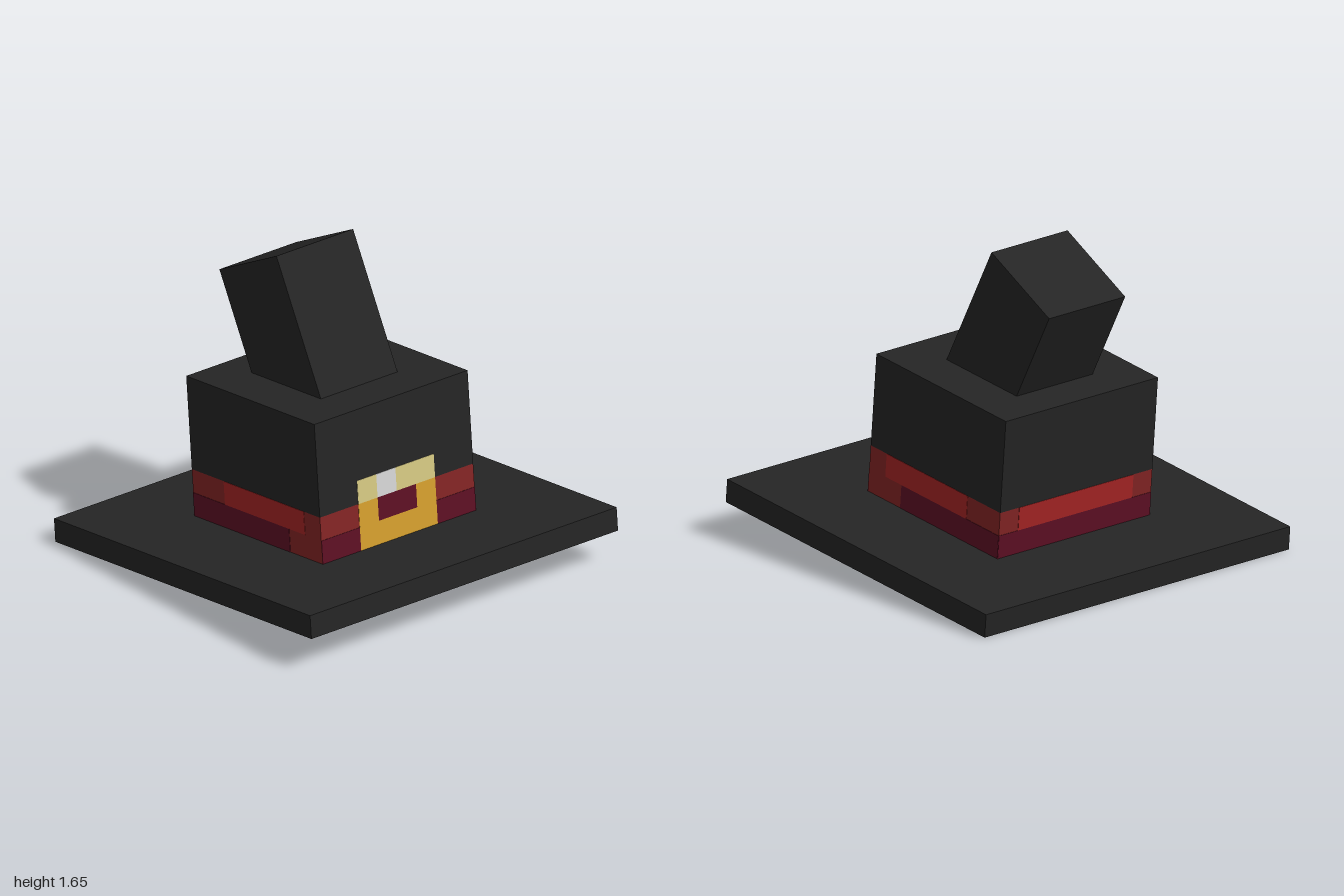
import * as THREE from 'three';

const mat = (name, color) => {
  const m = new THREE.MeshStandardMaterial({ color });
  m.name = name;
  return m;
};

export function createModel() {
  const black = mat('black felt', 0x252525);
  const red = mat('red band', 0x842525);
  const brightRed = mat('bright red', 0xa62424);
  const darkRed = mat('dark red', 0x5e1024);
  const gold = mat('gold', 0xd6a02e);
  const paleGold = mat('pale gold', 0xd6c983);
  const silver = mat('silver shine', 0xd6d6d6);

  const model = new THREE.Group();
  model.name = 'pointedHat';

  const box = (parent, name, material, size, pos) => {
    const mesh = new THREE.Mesh(new THREE.BoxGeometry(...size), material);
    mesh.name = name;
    mesh.position.set(...pos);
    parent.add(mesh);
    return mesh;
  };

  // Brim and crown share a slight backward tilt
  const hat = new THREE.Group();
  hat.name = 'tiltedHat';
  hat.position.set(0, 0.087, 0.0045);
  hat.rotation.x = THREE.MathUtils.degToRad(-5);
  model.add(hat);
  box(hat, 'brim', black, [2, 0.125, 2], [0, 0.0625, 0]);
  box(hat, 'crown', black, [1, 0.5, 1], [0, 0.625, 0]);
  box(hat, 'band', red, [1, 0.25, 1], [0, 0.25, 0]);

  // Bent tip, sunk into the crown
  const tip = box(model, 'tip', black, [0.5, 0.75, 0.5], [0, 1.197, -0.215]);
  tip.rotation.x = THREE.MathUtils.degToRad(-27.5);

  // One group per crown face; plates are given by their edges on that face
  const face = (name, turn) => {
    const g = new THREE.Group();
    g.name = name;
    g.rotation.y = turn;
    hat.add(g);
    return (part, material, u0, u1, v0, v1) =>
      box(g, part, material, [u1 - u0, v1 - v0, 0.004], [(u0 + u1) / 2, (v0 + v1) / 2, 0.5]);
  };

  // Front: shaded band and buckle
  const front = face('frontDetails', 0);
  front('bandShadeRight', darkRed, -0.5, -0.25, 0.125, 0.25);
  front('bandShadeLeft', darkRed, 0.25, 0.5, 0.125, 0.25);
  front('buckleBase', gold, -0.25, 0.25, 0.125, 0.25);
  front('buckleSideRight', gold, -0.25, -0.125, 0.25, 0.375);
  front('buckleSideLeft', gold, 0.125, 0.25, 0.25, 0.375);
  front('buckleHole', darkRed, -0.125, 0.125, 0.25, 0.375);
  front('buckleTopRight', paleGold, -0.25, -0.125, 0.375, 0.5);
  front('buckleShine', silver, -0.125, 0, 0.375, 0.5);
  front('buckleTopLeft', paleGold, 0, 0.25, 0.375, 0.5);

  // Back
  const back = face('backDetails', Math.PI);
  back('bandHighlight', brightRed, -0.375, 0.375, 0.25, 0.375);
  back('bandShade', darkRed, -0.5, 0.5, 0.125, 0.25);

  // Mirrored sides
  for (const s of [1, -1]) {
    const side = face(s > 0 ? 'leftDetails' : 'rightDetails', s * Math.PI / 2);
    const plate = (name, m, a, b, v0, v1) =>
      side(name, m, Math.min(s * a, s * b), Math.max(s * a, s * b), v0, v1);
    plate('bandHighlight', brightRed, -0.375, 0.25, 0.25, 0.375);
    plate('bandShade', darkRed, -0.25, 0.5, 0.125, 0.25);
  }

  return model;
}
